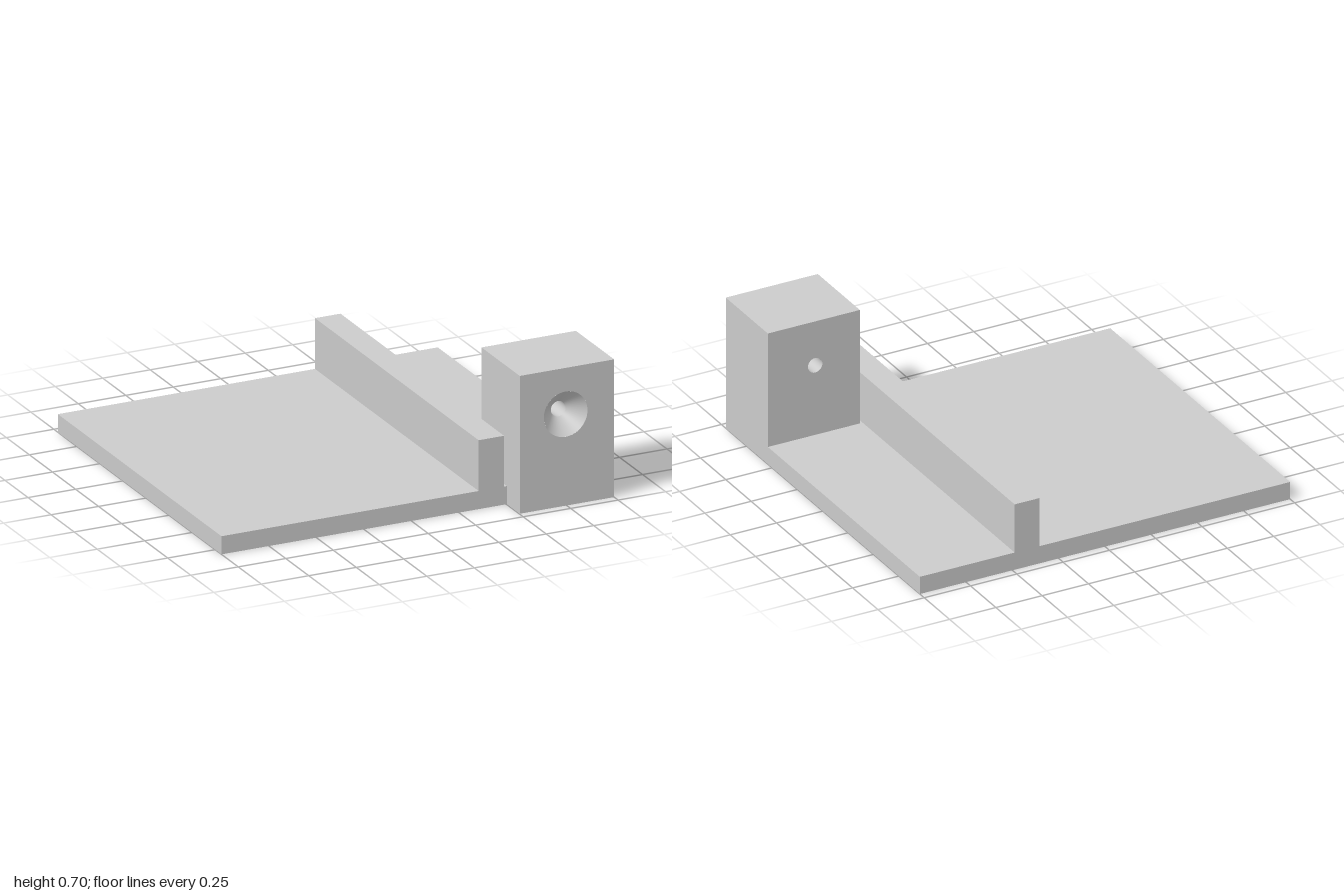
import * as THREE from 'three';

const material = new THREE.MeshStandardMaterial({ color: 0xcccccc });
const boreMaterial = new THREE.MeshStandardMaterial({ color: 0xcccccc, side: THREE.DoubleSide });

function add(parent, name, geometry, x = 0, y = 0, z = 0, mat = material) {
  const mesh = new THREE.Mesh(geometry, mat);
  mesh.name = name;
  mesh.position.set(x, y, z);
  parent.add(mesh);
  return mesh;
}

// Rectangle centred on the origin with a round hole at (hx, hy)
function holedFace(w, h, hx, hy, r) {
  const shape = new THREE.Shape([[-1, -1], [1, -1], [1, 1], [-1, 1]]
    .map(([x, y]) => new THREE.Vector2(x * w / 2, y * h / 2)));
  shape.holes.push(new THREE.Path().absarc(hx, hy, r, 0, Math.PI * 2, true));
  return new THREE.ShapeGeometry(shape, 48);
}

export function createModel() {
  const model = new THREE.Group();
  model.name = 'bracket';

  // Base plate and upright rail share one profile, extruded front to back
  const profile = new THREE.Shape([
    [-1, 0], [1, 0], [1, 0.092], [0.488, 0.092], [0.488, 0.35],
    [0.354, 0.35], [0.354, 0.092], [-1, 0.092],
  ].map(([x, y]) => new THREE.Vector2(x, y)));
  add(model, 'basePlateWithRail',
    new THREE.ExtrudeGeometry(profile, { depth: 1.775, bevelEnabled: false }), 0, 0, -0.957);

  // Corner block, pierced front to back by a countersunk hole
  const w = 0.497, h = 0.7, d = 0.415;
  const holeX = -0.007, holeY = 0.115, rBore = 0.039, rSink = 0.115, sink = 0.08;
  const block = new THREE.Group();
  block.name = 'cornerBlock';
  block.position.set(1 - w / 2, h / 2, 0.957 - d / 2);
  model.add(block);

  // Four outer walls: a box without its front and back
  const walls = new THREE.BoxGeometry(w, h, d);
  walls.setIndex(Array.from(walls.index.array.slice(0, 24)));
  walls.clearGroups();
  add(block, 'blockWalls', walls);
  add(block, 'blockFront', holedFace(w, h, holeX, holeY, rSink), 0, 0, d / 2);
  add(block, 'blockBack', holedFace(w, h, -holeX, holeY, rBore).rotateY(Math.PI), 0, 0, -d / 2);

  // Conical countersink and straight bore
  const tube = (rFront, rBack, length) =>
    new THREE.CylinderGeometry(rFront, rBack, length, 48, 1, true).rotateX(Math.PI / 2);
  add(block, 'countersink', tube(rSink, rBore, sink), holeX, holeY, d / 2 - sink / 2, boreMaterial);
  add(block, 'bore', tube(rBore, rBore, d - sink), holeX, holeY, -sink / 2, boreMaterial);

  return model;
}
